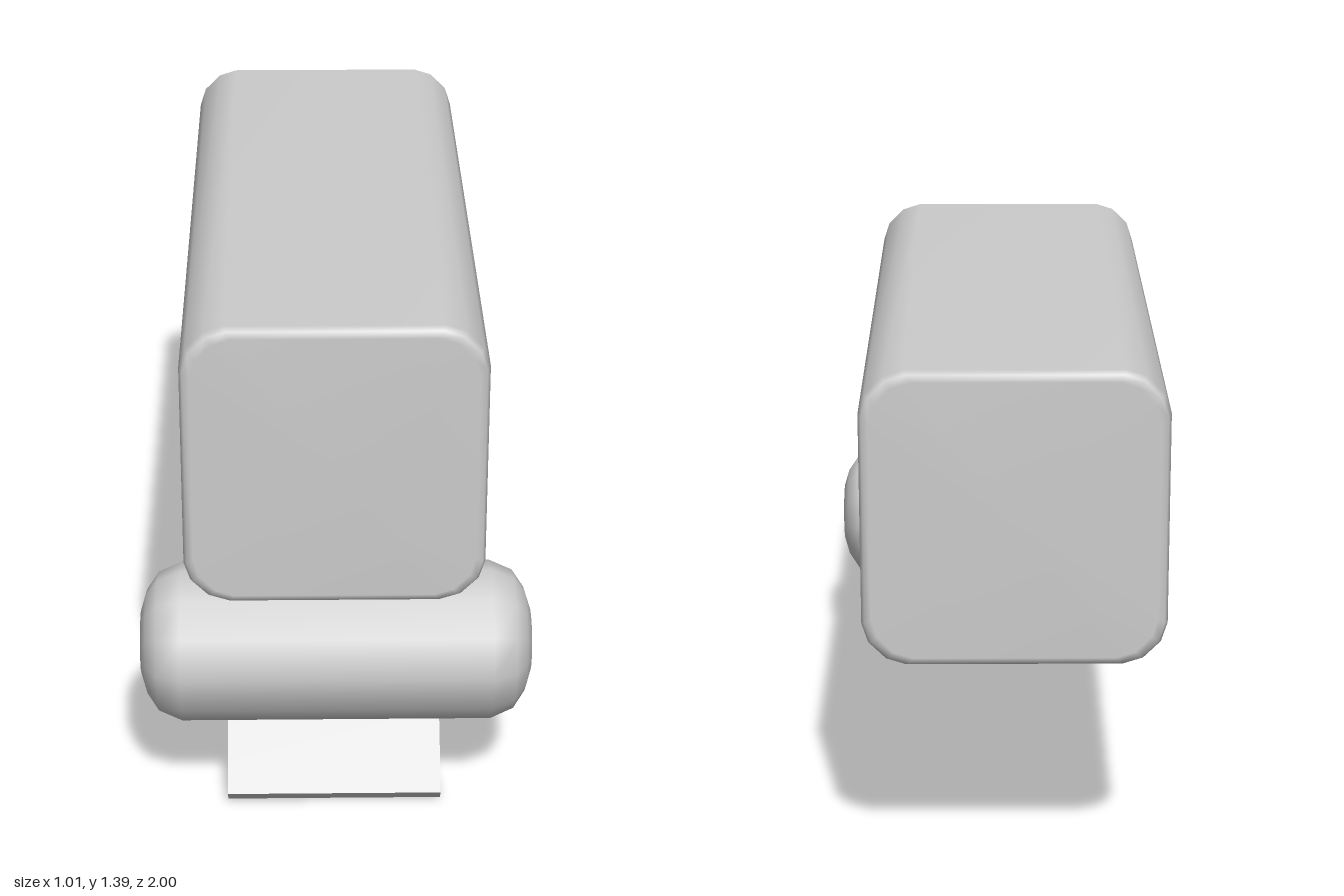
import * as THREE from 'three';
import { toCreasedNormals } from 'three/addons/utils/BufferGeometryUtils.js';

// Skin through equal-length rings (counter-clockwise from +z, ordered by rising z), closed at both ends
function loft(rings) {
  const n = rings[0].length, last = (rings.length - 1) * n;
  const points = rings.flat(), index = [];
  for (let i = 0; i < rings.length - 1; i++) {
    for (let j = 0; j < n; j++) {
      const k = (j + 1) % n;
      const a = i * n + j, b = i * n + k, c = a + n, d = b + n;
      index.push(a, b, d, a, d, c);
    }
  }
  const centre = (ring) => ring.reduce((s, p) => s.add(p), new THREE.Vector3()).divideScalar(n);
  const back = points.length, front = back + 1;
  points.push(centre(rings[0]), centre(rings[rings.length - 1]));
  for (let j = 0; j < n; j++) {
    const k = (j + 1) % n;
    index.push(back, k, j, front, last + j, last + k);
  }
  const geometry = new THREE.BufferGeometry().setFromPoints(points);
  geometry.setIndex(index);
  geometry.computeVertexNormals();
  return geometry;
}

export function createModel() {
  const group = new THREE.Group();
  const material = new THREE.MeshStandardMaterial({ color: 0xcccccc });
  const add = (name, geometry) => {
    const mesh = new THREE.Mesh(geometry, material);
    mesh.name = name;
    group.add(mesh);
    return mesh;
  };

  // Long square body with chamfered long edges and small end bevels
  const corner = [[0.38, 0.27], [0.364, 0.32], [0.32, 0.364], [0.27, 0.38]];
  const section = [];
  for (let q = 0; q < 4; q++) {
    const turn = (q * Math.PI) / 2;
    for (const [x, y] of corner) section.push(new THREE.Vector2(x, y).rotateAround(new THREE.Vector2(), turn));
  }
  const bodyEnds = [[-1, 0.025], [-0.993, 0.008], [-0.975, 0], [0.91, 0], [0.928, 0.008], [0.935, 0.025]];
  const body = add('body', loft(bodyEnds.map(([z, inset]) => {
    const s = 1 - inset / 0.38;
    return section.map((p) => new THREE.Vector3(p.x * s, p.y * s, z));
  })));
  body.position.set(-0.005, 1.01, 0);

  // Twelve-sided crosswise roller with rounded ends
  const half = [[0, 0.505], [0.085, 0.505], [0.135, 0.49], [0.18, 0.46], [0.206, 0.4]];
  const profile = [
    ...half.map(([r, x]) => new THREE.Vector2(r, -x)),
    ...half.map(([r, x]) => new THREE.Vector2(r, x)).reverse(),
  ];
  const roller = add('roller', new THREE.LatheGeometry(profile, 12).rotateZ(-Math.PI / 2));
  roller.position.set(0, 0.44, 0.793);

  // Curved strip: half width, upper z and y, lower z and y
  const strip = [
    [0.245, -0.112, 0.63, -0.126, 0.576],
    [0.27, -0.104, 0.628, -0.118, 0.574],
    [0.28, -0.085, 0.623, -0.1, 0.569],
    [0.28, 0.164, 0.55, 0.153, 0.496],
    [0.28, 0.335, 0.49, 0.318, 0.437],
    [0.28, 0.5, 0.405, 0.48, 0.357],
    [0.28, 0.655, 0.295, 0.622, 0.255],
    [0.28, 0.785, 0.175, 0.748, 0.137],
    [0.28, 0.909, 0.04, 0.871, 0],
  ];
  const stripGeometry = loft(strip.map(([w, zt, yt, zb, yb]) => [
    new THREE.Vector3(w, yb, zb),
    new THREE.Vector3(w, yt, zt),
    new THREE.Vector3(-w, yt, zt),
    new THREE.Vector3(-w, yb, zb),
  ]));
  add('curvedStrip', toCreasedNormals(stripGeometry, 0.6)).position.x = -0.005;

  return group;
}
